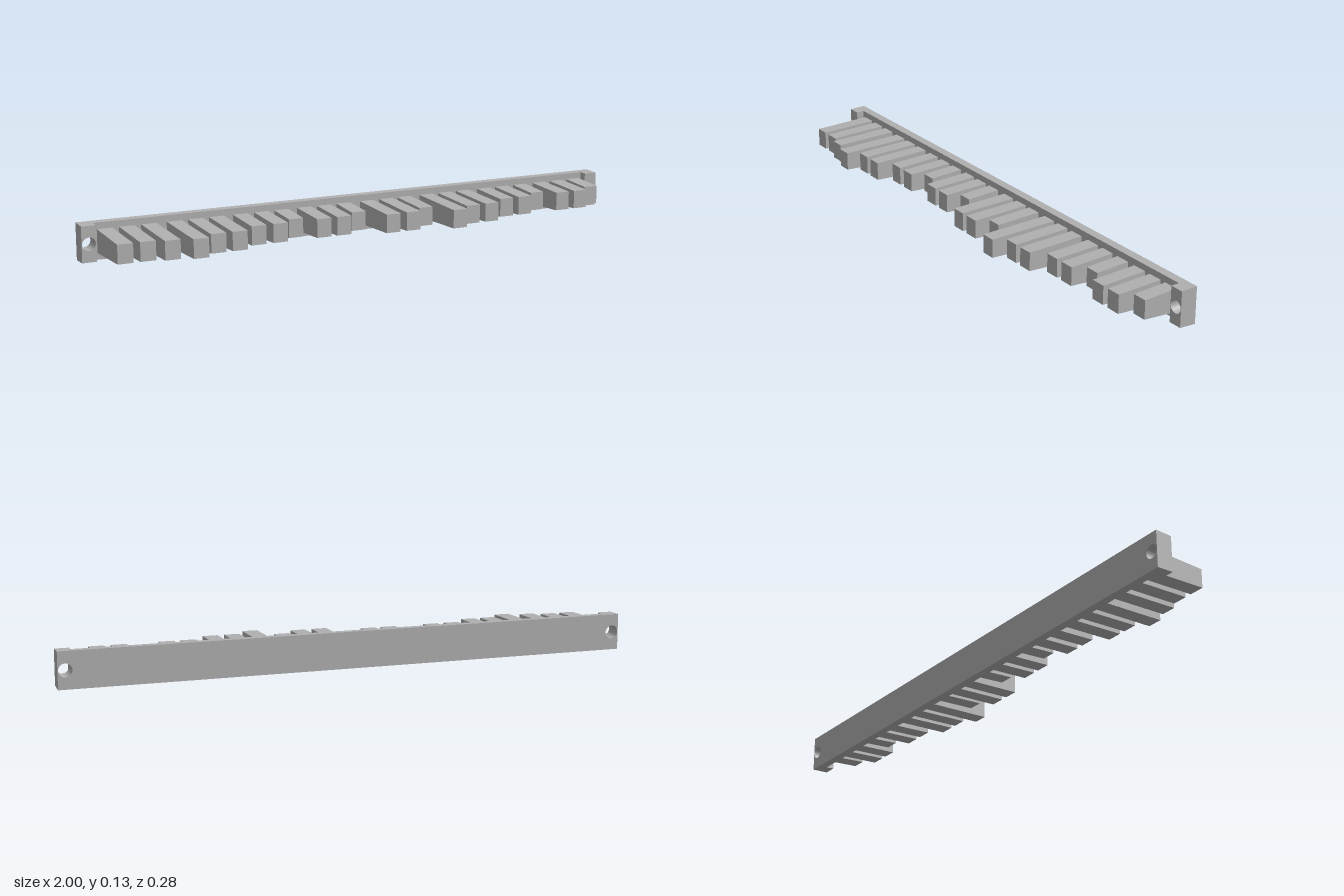
import * as THREE from 'three';

const MID = 0.0635; // height of the centre line

// Scale heights about the centre line from `back` to `front` along z
function draft(geo, z0, z1, back, front) {
  const p = geo.attributes.position;
  for (let i = 0; i < p.count; i++) {
    const t = (p.getZ(i) - z0) / (z1 - z0);
    p.setY(i, MID + (p.getY(i) - MID) * (back + (front - back) * t));
  }
  geo.computeVertexNormals();
  return geo;
}

// Plate from x0 to x1 with round screw holes, extruded from z0 to z1
function plate(x0, x1, z0, z1, holes) {
  const s = new THREE.Shape();
  s.moveTo(x0, 0);
  s.lineTo(x1, 0);
  s.lineTo(x1, 2 * MID);
  s.lineTo(x0, 2 * MID);
  s.closePath();
  for (const x of holes) {
    s.holes.push(new THREE.Path().absarc(x, MID, 0.023, 0, Math.PI * 2, true));
  }
  const geo = new THREE.ExtrudeGeometry(s, { depth: z1 - z0, bevelEnabled: false, curveSegments: 16 });
  return geo.translate(0, 0, z0);
}

export function createModel() {
  const model = new THREE.Group();
  model.name = 'keyRail';
  const grey = new THREE.MeshStandardMaterial({ color: 0xb0b0b0 });
  grey.name = 'grey';

  const add = (geo, name) => {
    const mesh = new THREE.Mesh(geo, grey);
    mesh.name = name;
    model.add(mesh);
  };

  // Long back rail, with a slight draft towards the front
  const back = -0.139, step = -0.109, face = -0.08;
  add(draft(plate(-1, 1, back, step, [-0.975, 0.975]), back, face, 1, 0.965), 'rail');

  // Raised screw blocks at both ends
  for (const [side, name] of [[-1, 'rightEndBlock'], [1, 'leftEndBlock']]) {
    const a = side * 0.951, b = side;
    const geo = plate(Math.min(a, b), Math.max(a, b), step, face, [side * 0.975]);
    add(draft(geo, back, face, 1, 0.965), name);
  }

  // Tapered teeth: centre x and front z of each
  const L = 0.139, M = 0.118, S = 0.098, T = 0.054, U = 0.0125;
  const teeth = [
    [-0.912, S], [-0.836, S], [-0.76, M], [-0.671, L], [-0.595, S], [-0.52, S],
    [-0.434, T], [-0.356, T], [-0.281, U], [-0.195, T], [-0.12, T], [-0.044, U],
    [0.047, S], [0.124, S], [0.197, T], [0.286, L], [0.362, S], [0.438, S],
    [0.526, T], [0.602, T], [0.68, U], [0.764, T], [0.84, T], [0.915, U],
  ];
  teeth.forEach(([x, z], i) => {
    const geo = new THREE.BoxGeometry(0.053, 0.08, z - step);
    geo.translate(x, MID + 0.0005, (z + step) / 2);
    add(draft(geo, step, z, 1, 0.81), 'tooth' + (i + 1));
  });

  return model;
}
